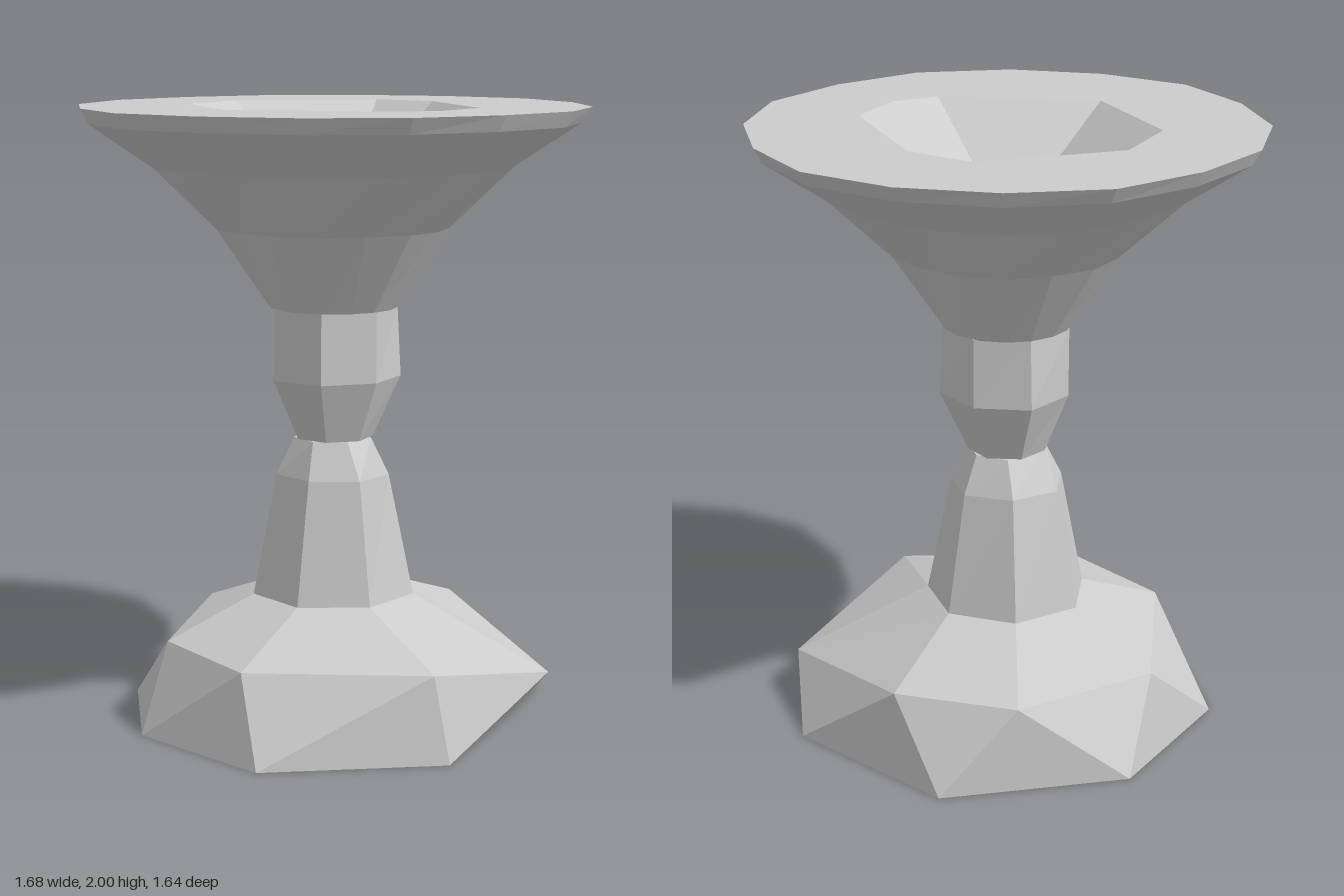
import * as THREE from 'three';

const material = new THREE.MeshStandardMaterial({ color: 0xcccccc, flatShading: true, side: THREE.DoubleSide });

// Ring of points at height y, with an optional uneven radius
function ring(sides, radius, y, startDeg = 0, wobble = 0) {
  return Array.from({ length: sides }, (_, i) => {
    const a = THREE.MathUtils.degToRad(startDeg) + (i / sides) * Math.PI * 2;
    const r = radius * (1 + wobble * Math.sin(i * 2.4 + y * 7));
    return [r * Math.cos(a), y, r * Math.sin(a)];
  });
}

// Flat ring of given [x, z] points
const level = (points, y) => points.map(([x, z]) => [x, y, z]);

// Faceted skin through equal-sized rings; caps are optional
function loft(name, rings, { capStart = false, capEnd = false } = {}) {
  const out = [];
  const n = rings[0].length;
  const middle = (r) => [0, 1, 2].map((k) => r.reduce((s, p) => s + p[k], 0) / n);
  for (let k = 0; k < rings.length - 1; k++) {
    const a = rings[k], b = rings[k + 1];
    for (let i = 0; i < n; i++) {
      const j = (i + 1) % n;
      out.push(...a[j], ...a[i], ...b[i], ...a[j], ...b[i], ...b[j]);
    }
  }
  const first = rings[0], last = rings[rings.length - 1];
  for (let i = 0; i < n; i++) {
    const j = (i + 1) % n;
    if (capStart) out.push(...middle(first), ...first[i], ...first[j]);
    if (capEnd) out.push(...middle(last), ...last[j], ...last[i]);
  }
  const geometry = new THREE.BufferGeometry();
  geometry.setAttribute('position', new THREE.Float32BufferAttribute(out, 3));
  geometry.computeVertexNormals();
  const mesh = new THREE.Mesh(geometry, material);
  mesh.name = name;
  return mesh;
}

export function createModel() {
  const group = new THREE.Group();
  group.name = 'pedestalBowl';

  // Rough seven-sided foot with one low chipped corner
  const footBottom = level([[0.67, 0.31], [-0.16, 0.71], [-0.65, 0.36], [-0.68, -0.17],
    [-0.38, -0.58], [0.17, -0.68], [0.67, -0.31]], 0);
  const footMiddle = level([[0.44, 0.57], [-0.17, 0.65], [-0.59, 0.22], [-0.53, -0.22],
    [-0.03, -0.6], [0.45, -0.45], [0.63, -0.08]], 0.275);
  footMiddle[0][1] = 0.15;
  group.add(loft('foot', [footBottom, footMiddle, ring(7, 0.27, 0.4, 55)], { capStart: true, capEnd: true }));

  // Tapering lower stem
  group.add(loft('lowerStem', [
    ring(7, 0.27, 0.4, 55), ring(7, 0.19, 0.8, 55, 0.03), ring(7, 0.13, 0.92, 60),
  ], { capEnd: true }));

  // Swelling knot between stem and bowl
  group.add(loft('knot', [
    ring(7, 0.13, 0.92, 40), ring(7, 0.215, 1.12, 40, 0.03), ring(7, 0.21, 1.35, 40),
  ], { capStart: true, capEnd: true }));

  // Flaring bowl
  const rim = ring(16, 0.83, 2, 4, 0.012);
  group.add(loft('bowl', [
    ring(16, 0.21, 1.35, 4), ring(16, 0.38, 1.61, 4, 0.02), ring(16, 0.59, 1.81, 4, 0.01),
    ring(16, 0.8, 1.95, 4, 0.01), rim,
  ], { capStart: true }));

  // Broad flat top with an irregular opening
  const opening = [[0.45, 0], [0.22, 0.44], [0, 0.5], [-0.15, 0.44],
    [-0.46, 0], [-0.27, -0.41], [0, -0.49], [0.42, -0.24]];
  const topShape = new THREE.Shape(rim.map(([x, , z]) => new THREE.Vector2(x, -z)));
  topShape.holes.push(new THREE.Path(opening.map(([x, z]) => new THREE.Vector2(x, -z))));
  const top = new THREE.Mesh(new THREE.ShapeGeometry(topShape).rotateX(-Math.PI / 2), material);
  top.name = 'rimTop';
  top.position.y = 2;
  group.add(top);

  // Angular hollow sinking to the middle
  const scaled = (s) => opening.map(([x, z]) => [x * s, z * s]);
  group.add(loft('hollow', [
    level(opening, 2), level(scaled(0.4), 1.8), level(scaled(0.08), 1.66),
  ], { capEnd: true }));

  return group;
}
